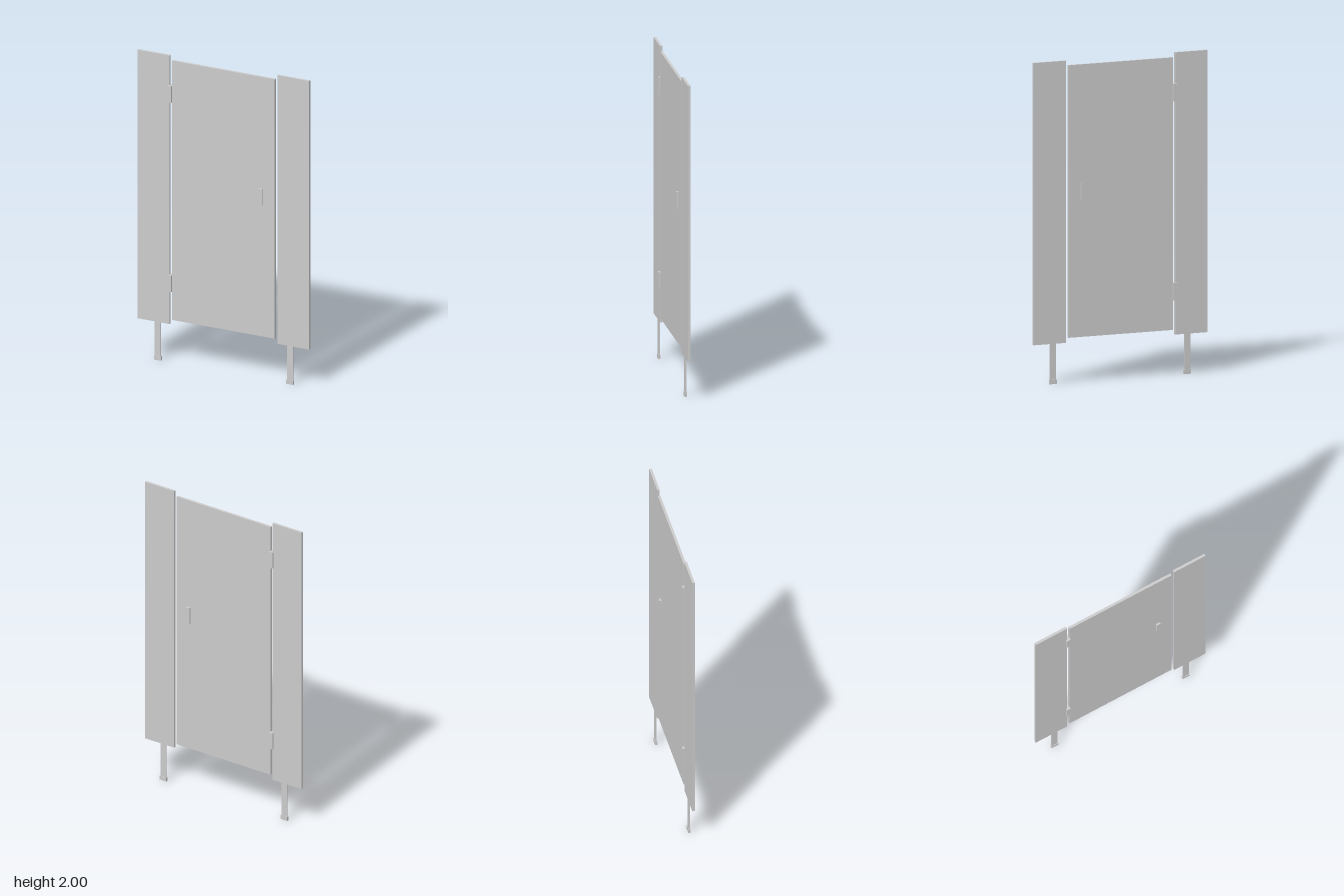
import * as THREE from 'three';

export function createModel() {
  const model = new THREE.Group();
  const material = new THREE.MeshStandardMaterial({ color: 0xcccccc });

  // Box given by its centre x, vertical span, width and depth, centred on z = 0
  function addBox(name, x, bottom, top, width, depth) {
    const mesh = new THREE.Mesh(new THREE.BoxGeometry(width, top - bottom, depth), material);
    mesh.name = name;
    mesh.position.set(x, (bottom + top) / 2, 0);
    model.add(mesh);
  }

  // Fixed side panels, each on a thin leg with a foot
  for (const [side, s] of [['right', -1], ['left', 1]]) {
    addBox(side + 'Panel', s * 0.486, 0.25, 2, 0.221, 0.016);
    addBox(side + 'Leg', s * 0.461, 0.025, 0.25, 0.042, 0.007);
    addBox(side + 'Foot', s * 0.461, 0, 0.027, 0.049, 0.014);
  }

  // Door leaf
  addBox('door', -0.001, 0.28, 1.97, 0.717, 0.016);

  // Hinges bridging the gap, and the handle passing through the door
  addBox('lowerHinge', -0.371, 0.464, 0.572, 0.026, 0.04);
  addBox('upperHinge', -0.371, 1.698, 1.806, 0.026, 0.04);
  addBox('handle', 0.261, 1.136, 1.244, 0.026, 0.04);

  return model;
}
